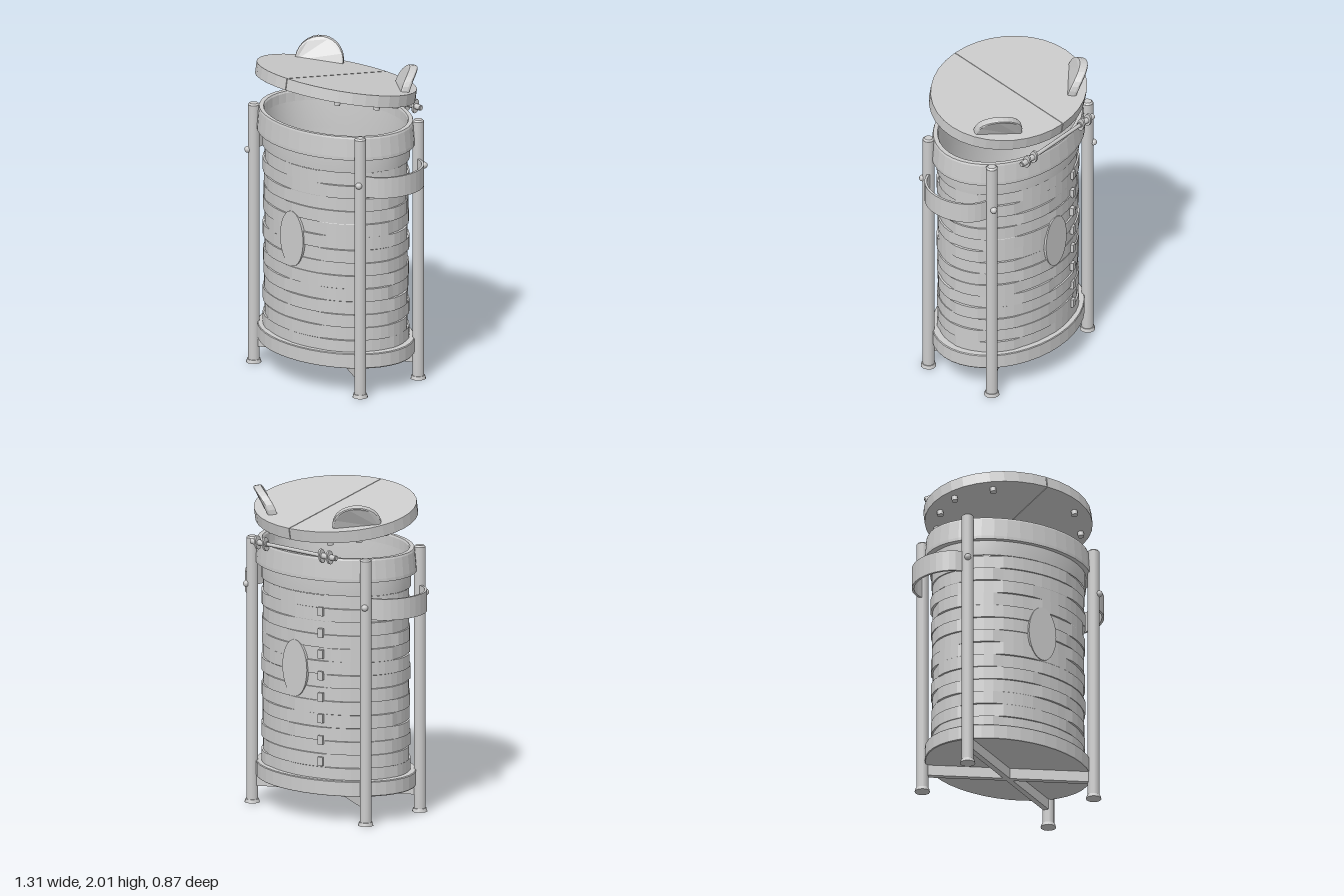
import * as THREE from 'three';

const RATIO = 0.745; // depth / width of the oval plan
const flat = new THREE.MeshStandardMaterial({ color: 0xcccccc, flatShading: true });
const smooth = new THREE.MeshStandardMaterial({ color: 0xcccccc });
const thin = new THREE.MeshStandardMaterial({ color: 0xcccccc, side: THREE.DoubleSide });

function add(parent, name, geo, mat, x = 0, y = 0, z = 0) {
  const m = new THREE.Mesh(geo, mat);
  m.name = name;
  m.position.set(x, y, z);
  parent.add(m);
  return m;
}

// Oval ring or shell turned from a profile of [radius, height]
function ovalLathe(profile, segs = 40) {
  const g = new THREE.LatheGeometry(profile.map(p => new THREE.Vector2(...p)), segs);
  return g.scale(1, 1, RATIO);
}

// Woven wall: stepped rows with a small alternating offset around the oval
function wovenWall() {
  const rows = 14, y0 = 0.26, y1 = 1.43, profile = [];
  for (let i = 0; i < rows; i++) {
    const h = (y1 - y0) / rows;
    profile.push([0.505, y0 + i * h + 0.001], [0.505, y0 + (i + 1) * h - 0.001]);
  }
  const segs = 48, g = ovalLathe(profile, segs), p = g.attributes.position;
  for (let i = 0; i < p.count; i++) {
    const col = Math.floor(i / profile.length) % segs;
    const row = Math.floor((i % profile.length) / 2);
    const bump = Math.sin(row * 2.6 + Math.floor(col / 4) * 2.1) * 0.007;
    const s = 1 + bump / 0.505;
    p.setX(i, p.getX(i) * s);
    p.setZ(i, p.getZ(i) * s);
  }
  return g;
}

function createLid() {
  const lid = new THREE.Group();
  lid.name = 'lid';
  lid.position.set(0, 1.876, 0);
  lid.rotation.x = -0.185;

  // Two halves with a fine seam between them
  for (const s of [-1, 1]) {
    const shape = new THREE.Shape();
    const n = 18;
    for (let i = 0; i <= n; i++) {
      const a = -Math.PI / 2 + (Math.PI * i) / n;
      const x = s * (0.003 + 0.547 * Math.cos(a)), y = 0.435 * Math.sin(a);
      i ? shape.lineTo(x, y) : shape.moveTo(x, y);
    }
    const g = new THREE.ExtrudeGeometry(shape, { depth: 0.074, bevelEnabled: false });
    g.rotateX(-Math.PI / 2).translate(0, -0.037, 0);
    add(lid, s > 0 ? 'lidHalfLeft' : 'lidHalfRight', g, flat);
  }
  add(lid, 'lidSeam', new THREE.BoxGeometry(0.008, 0.066, 0.85), flat);

  for (const s of [-1, 1]) {
    // Bowed half-round ears
    const ear = new THREE.Shape();
    ear.moveTo(-0.14, -0.02);
    ear.lineTo(0.14, -0.02);
    for (let i = 0; i <= 14; i++) {
      const a = (Math.PI * i) / 14;
      ear.lineTo(0.14 * Math.cos(a), 0.132 * Math.sin(a));
    }
    const g = new THREE.ExtrudeGeometry(ear, {
      depth: 0.03, bevelThickness: 0.012, bevelSize: 0.01, bevelSegments: 2
    });
    g.translate(0, 0, -0.015);
    const p = g.attributes.position;
    for (let i = 0; i < p.count; i++) {
      p.setZ(i, p.getZ(i) + 1.5 * p.getX(i) ** 2 - 0.15 * p.getY(i));
    }
    g.computeVertexNormals();
    const m = add(lid, 'lidEar', g, flat, s * 0.38, 0.037, -0.235);
    m.rotation.y = -s * 0.67;

    // Studs under the lid
    for (const [x, z] of [[0.3, 0.28], [0.465, 0.1], [0.46, -0.07], [0.38, -0.23], [0.24, -0.34]]) {
      add(lid, 'lidStud', new THREE.CylinderGeometry(0.02, 0.02, 0.04, 10), smooth, s * x, -0.047, z);
    }
  }
  return lid;
}

function createFrame() {
  const frame = new THREE.Group();
  frame.name = 'frame';
  const lx = 0.465, lz = 0.25;
  for (const sx of [-1, 1]) {
    for (const sz of [-1, 1]) {
      add(frame, 'leg', new THREE.CylinderGeometry(0.037, 0.037, 1.66, 12), smooth, sx * lx, 0.84, sz * lz);
      add(frame, 'legCap', new THREE.CylinderGeometry(0.026, 0.037, 0.012, 12), smooth, sx * lx, 1.674, sz * lz);
      add(frame, 'foot', new THREE.CylinderGeometry(0.042, 0.048, 0.022, 12), smooth, sx * lx, 0.011, sz * lz);
      add(frame, 'legBolt', new THREE.SphereGeometry(0.021, 10, 8), smooth, sx * (lx + 0.02), 1.38, sz * (lz + 0.032));
    }
    // Diagonal brace under the floor
    const brace = add(frame, 'crossBrace',
      new THREE.BoxGeometry(2 * Math.hypot(lx, lz), 0.068, 0.035), flat, 0, 0.141, 0);
    brace.rotation.y = sx * Math.atan2(lz, lx);

    // Bowed side handle, a flat band
    const band = new THREE.Shape();
    const n = 16;
    for (let i = 0; i <= n; i++) {
      const a = -Math.PI / 2 + (Math.PI * i) / n;
      const x = 0.46 + 0.193 * Math.cos(a), y = 0.24 * Math.sin(a);
      i ? band.lineTo(x, y) : band.moveTo(x, y);
    }
    for (let i = n; i >= 0; i--) {
      const a = -Math.PI / 2 + (Math.PI * i) / n;
      band.lineTo(0.46 + 0.178 * Math.cos(a), 0.225 * Math.sin(a));
    }
    const g = new THREE.ExtrudeGeometry(band, { depth: 0.133, bevelEnabled: false });
    g.rotateX(-Math.PI / 2);
    const handle = add(frame, 'sideHandle', g, flat, 0, 1.3, 0);
    if (sx < 0) handle.rotation.y = Math.PI;
  }
  return frame;
}

function createHinge() {
  const hinge = new THREE.Group();
  hinge.name = 'hinge';
  hinge.position.set(0, 1.69, -0.39);
  add(hinge, 'hingeRod', new THREE.CylinderGeometry(0.012, 0.012, 0.7, 10).rotateZ(Math.PI / 2), smooth);
  for (const s of [-1, 1]) {
    add(hinge, 'hingeSleeve', new THREE.CylinderGeometry(0.018, 0.018, 0.13, 10).rotateZ(Math.PI / 2), smooth, s * 0.28);
    for (const x of [0.23, 0.295]) {
      // Oval lugs around the rod
      const lug = new THREE.CylinderGeometry(0.026, 0.026, 0.014, 14).rotateZ(Math.PI / 2).scale(1, 1.75, 1);
      add(hinge, 'hingeLug', lug, smooth, s * x, 0, -0.002).rotation.x = -0.2;
    }
  }
  return hinge;
}

export function createModel() {
  const model = new THREE.Group();
  model.name = 'ovalBin';

  // Container
  add(model, 'wovenWall', wovenWall(), flat);
  add(model, 'baseBand', ovalLathe([[0, 0.175], [0.546, 0.175], [0.55, 0.18], [0.55, 0.265], [0.545, 0.27], [0.5, 0.27]]), flat);
  add(model, 'neck', ovalLathe([[0.505, 1.43], [0.515, 1.432], [0.515, 1.54]]), thin);
  add(model, 'rim', ovalLathe([[0.5, 1.525], [0.552, 1.525], [0.552, 1.545], [0.541, 1.66], [0.536, 1.672],
    [0.506, 1.672], [0.5, 1.66], [0.5, 1.525]]), flat);
  add(model, 'innerLining', ovalLathe([[0.5, 1.6], [0.488, 1.43], [0.488, 0.24], [0, 0.24]]), thin);

  // Oval plates front and back
  for (const s of [-1, 1]) {
    const plate = new THREE.CylinderGeometry(1, 1, 0.02, 32).rotateX(Math.PI / 2).scale(0.1, 0.178, 1);
    add(model, s > 0 ? 'frontPlate' : 'backPlate', plate, flat, 0, 0.945, s * 0.373);
  }
  // Column of small tabs up the back
  for (let i = 0; i < 8; i++) {
    const tab = add(model, 'backTab', new THREE.BoxGeometry(0.032, 0.055, 0.03), flat, -0.19, 0.38 + i * 0.135, -0.352);
    tab.rotation.y = 0.28;
  }

  model.add(createFrame(), createHinge(), createLid());
  return model;
}
